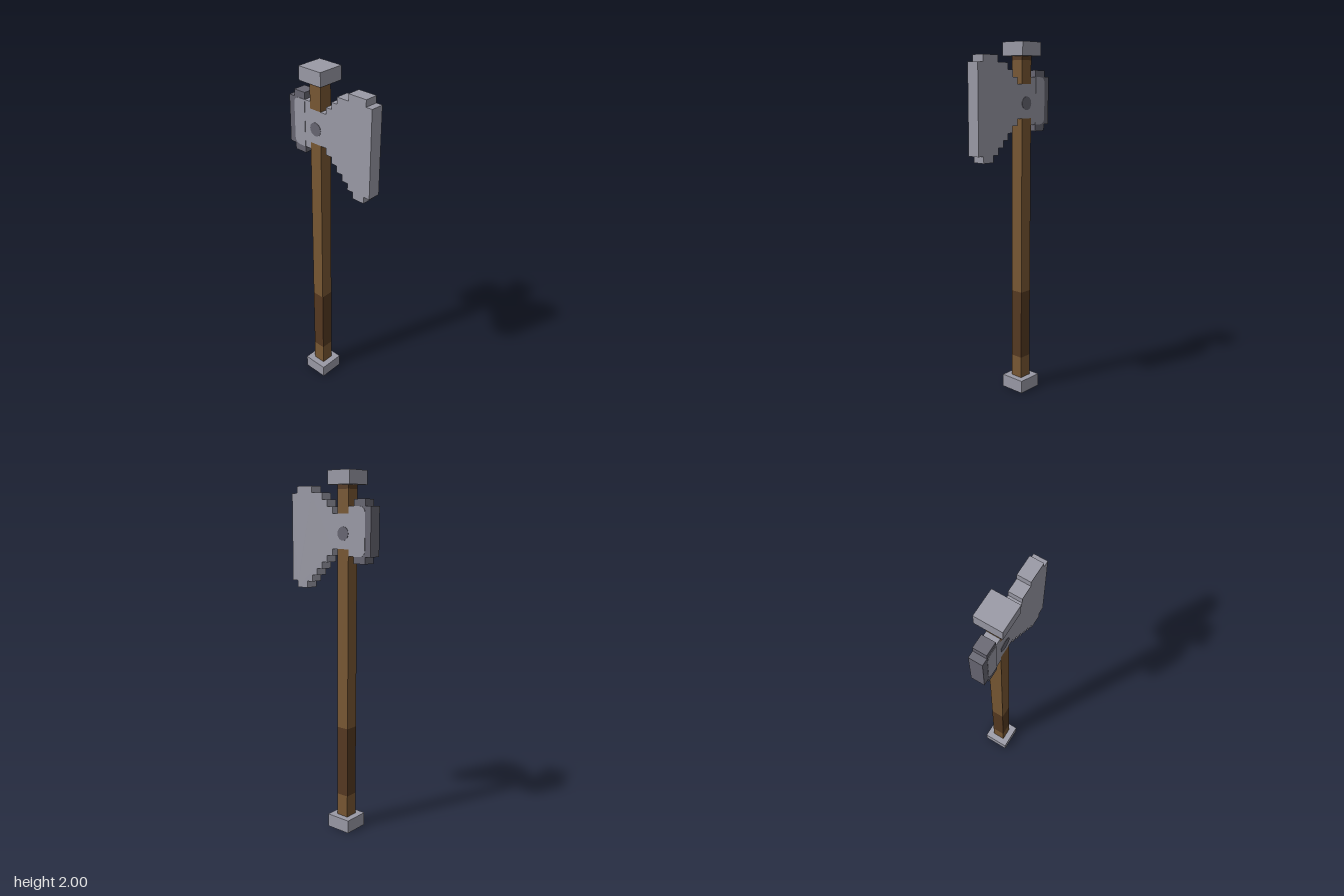
import * as THREE from 'three';

const U = 1 / 27; // one block step

function material(name, color) {
  const m = new THREE.MeshStandardMaterial({ color });
  m.name = name;
  return m;
}

export function createModel() {
  const steel = material('light steel', 0x9a9aa6);
  const darkSteel = material('dark steel', 0x676672);
  const wood = material('wood', 0x785733);
  const grip = material('dark wood', 0x553921);

  const group = new THREE.Group();
  group.name = 'battleAxe';

  function add(name, geometry, mat) {
    const mesh = new THREE.Mesh(geometry, mat);
    mesh.name = name;
    group.add(mesh);
    return mesh;
  }

  // Square block centred on the shaft, between two heights given in steps
  function block(name, y0, y1, width, mat) {
    const g = new THREE.BoxGeometry(width * U, (y1 - y0) * U, width * U);
    add(name, g, mat).position.set(-2.5 * U, ((y0 + y1) / 2) * U, 0);
  }

  // Slab extruded symmetrically about z = 0
  function slab(name, shape, halfDepth, mat) {
    const g = new THREE.ExtrudeGeometry(shape, { depth: 2 * halfDepth, bevelEnabled: false, curveSegments: 4 });
    add(name, g.translate(0, 0, -halfDepth), mat);
  }

  // Stepped outline from columns [x0, x1, bottom, top], left to right
  function stepped(columns) {
    const pts = [];
    for (const [x0, x1, , top] of columns) pts.push([x0, top], [x1, top]);
    for (const [x0, x1, bottom] of [...columns].reverse()) pts.push([x1, bottom], [x0, bottom]);
    return new THREE.Shape(pts.map(([x, y]) => new THREE.Vector2(x * U, y * U)));
  }

  // Shaft and end caps
  block('bottomCap', 0, 2, 4, steel);
  block('shaftFoot', 2, 5.4, 2, wood);
  block('shaftGrip', 5.4, 16.2, 2, grip);
  block('shaft', 16.2, 43, 2, wood);
  block('shaftNeck', 48, 51.4, 2, wood);
  block('shaftTopBand', 51.4, 52, 2, grip);
  block('topCap', 52, 54, 4, steel);

  // Blade and socket
  slab('blade', stepped([
    [-4.5, -3.5, 42, 49],
    [-3.5, -0.5, 43, 48],
    [-0.5, 0.5, 42, 49],
    [0.5, 1.5, 41, 50],
    [1.5, 2.5, 40, 51],
    [2.5, 3.5, 39, 51],
    [3.5, 4.5, 38, 52],
    [4.5, 6.5, 37, 52],
    [6.5, 7.5, 38, 51],
  ]), U, steel);

  // Hammer poll behind the shaft
  slab('poll', stepped([[-7.5, -6.5, 42, 49], [-6.5, -4.5, 41, 50]]), U, darkSteel);

  // Light cheek with rounded corners on both faces of the poll
  const cheek = new THREE.Shape();
  const [l, r, b, t, c] = [-6.5, -4.5, 42, 49, 1].map(v => v * U);
  cheek.moveTo(r, b);
  cheek.lineTo(r, t);
  cheek.lineTo(l + c, t);
  cheek.quadraticCurveTo(l, t, l, t - c);
  cheek.lineTo(l, b + c);
  cheek.quadraticCurveTo(l, b, l + c, b);
  slab('pollCheek', cheek, U + 0.002, steel);

  // Rivet through the socket
  const rivet = new THREE.CylinderGeometry(U, U, 2 * U + 0.004, 16).rotateX(Math.PI / 2);
  add('rivet', rivet, darkSteel).position.set(-2.5 * U, 45.2 * U, 0);

  return group;
}
